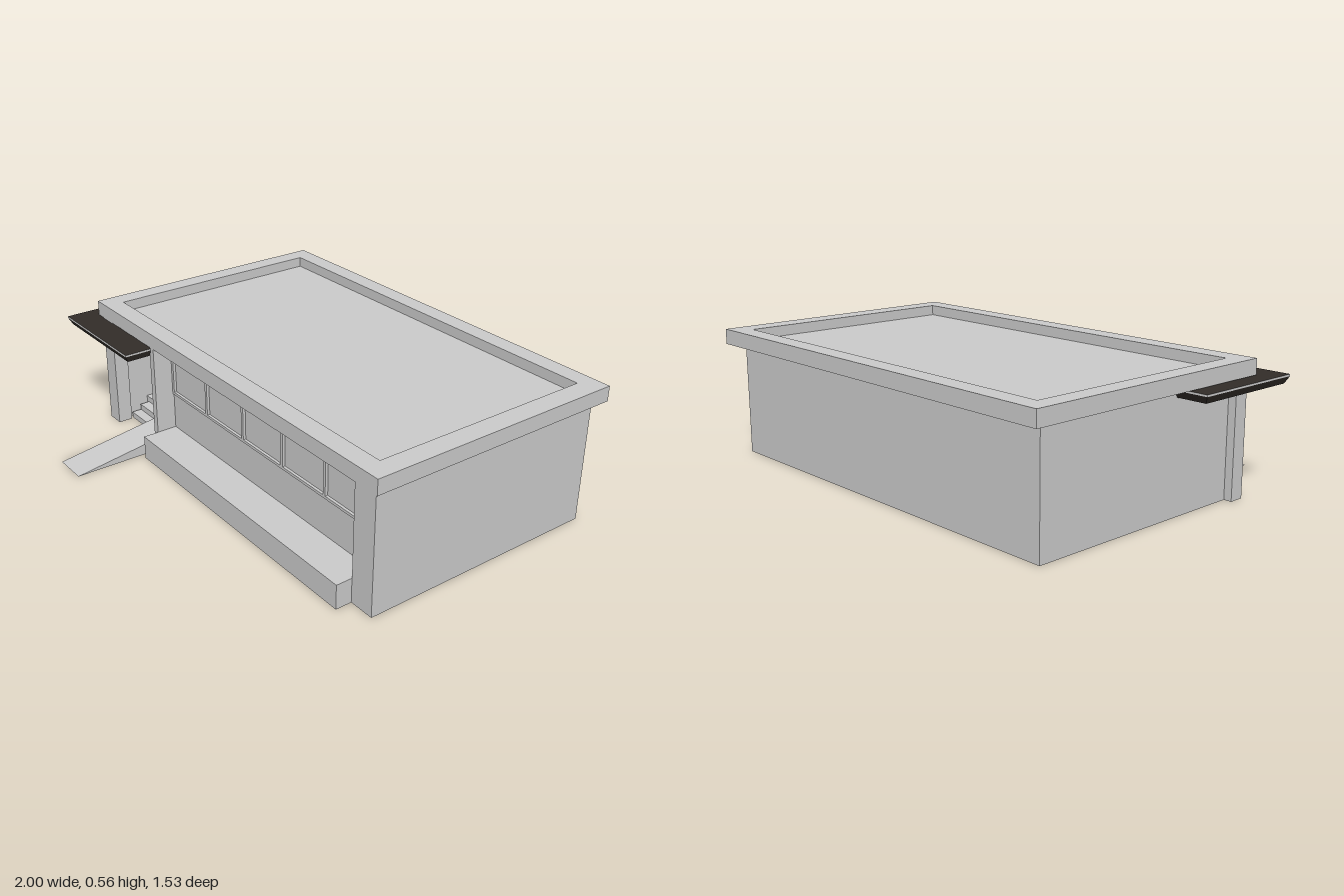
import * as THREE from 'three';

const grey = new THREE.MeshStandardMaterial({ color: 0xcccccc, side: THREE.DoubleSide });
const dark = new THREE.MeshStandardMaterial({ color: 0x322d29, side: THREE.DoubleSide });

// Box given by its min and max on each axis
function box(parent, name, x0, x1, y0, y1, z0, z1, material = grey) {
  const mesh = new THREE.Mesh(new THREE.BoxGeometry(x1 - x0, y1 - y0, z1 - z0), material);
  mesh.position.set((x0 + x1) / 2, (y0 + y1) / 2, (z0 + z1) / 2);
  mesh.name = name;
  parent.add(mesh);
  return mesh;
}

function group(parent, name) {
  const g = new THREE.Group();
  g.name = name;
  parent.add(g);
  return g;
}

const shapeOf = pts => new THREE.Shape(pts.map(p => new THREE.Vector2(...p)));

// Flat plan (x, z) extruded downwards from height top
function plate(parent, name, shape, top, depth, material) {
  const geo = new THREE.ExtrudeGeometry(shape, { depth, bevelEnabled: false });
  geo.rotateX(Math.PI / 2);
  geo.translate(0, top, 0);
  const mesh = new THREE.Mesh(geo, material);
  mesh.name = name;
  parent.add(mesh);
  return mesh;
}

export function createModel() {
  const model = new THREE.Group();
  model.name = 'building';

  // Flat roof with a raised parapet around it
  const roof = group(model, 'roof');
  const parapet = shapeOf([[-0.93, -0.77], [1, -0.77], [1, 0.385], [-0.93, 0.385]]);
  parapet.holes.push(new THREE.Path([[-0.85, -0.69], [-0.85, 0.3], [0.91, 0.3], [0.91, -0.69]]
    .map(p => new THREE.Vector2(...p))));
  plate(roof, 'parapet', parapet, 0.565, 0.065, grey);
  box(roof, 'roofDeck', -0.85, 0.91, 0.5, 0.52, -0.69, 0.3);

  // Outer walls, open underneath
  const walls = group(model, 'walls');
  box(walls, 'backWall', -0.855, 0.995, 0, 0.5, -0.68, -0.66);
  box(walls, 'leftWall', 0.885, 0.995, 0, 0.5, -0.68, 0.385);
  box(walls, 'rightWall', -0.855, -0.835, 0, 0.5, -0.66, 0.325);
  box(walls, 'cornerPillar', -0.89, -0.81, 0, 0.5, 0.32, 0.385);
  box(walls, 'porchPartition', -0.48, -0.45, 0, 0.5, 0.065, 0.385);
  box(walls, 'porchBackWall', -0.835, -0.48, 0.08, 0.5, 0.055, 0.07);

  // Recessed window wall: solid base, sill and five panes between mullions
  const front = group(model, 'windowWall');
  const x0 = -0.45, x1 = 0.885, zWall = 0.295, count = 5;
  box(front, 'basePanel', x0, x1, 0, 0.27, zWall - 0.015, zWall);
  box(front, 'sill', x0, x1, 0.268, 0.28, zWall - 0.015, zWall + 0.006);
  box(front, 'headRail', x0, x1, 0.49, 0.5, zWall - 0.015, zWall + 0.006);
  box(front, 'glazing', x0, x1, 0.28, 0.49, zWall - 0.012, zWall - 0.006);
  for (let i = 0; i <= count; i++) {
    const x = THREE.MathUtils.lerp(x0 + 0.007, x1 - 0.007, i / count);
    box(front, 'mullion', x - 0.007, x + 0.007, 0.28, 0.49, zWall - 0.015, zWall + 0.006);
  }

  // Hollow planter ledge in front of the windows
  const planter = group(model, 'planter');
  box(planter, 'planterTop', x0, x1, 0.09, 0.105, zWall, 0.455);
  box(planter, 'planterFront', x0, x1, 0, 0.09, 0.44, 0.455);
  box(planter, 'planterEnd', x0, x0 + 0.015, 0, 0.09, zWall, 0.44);
  box(planter, 'planterEnd', x1 - 0.015, x1, 0, 0.09, 0.385, 0.44);

  // Porch floor, steps and ramp
  const porch = group(model, 'porch');
  box(porch, 'porchFloor', -0.835, -0.48, 0, 0.08, 0.07, 0.22);
  for (let i = 0; i < 2; i++) {
    const z = 0.22 + i * 0.045;
    box(porch, 'step', -0.82, -0.635, 0, 0.054 - i * 0.027, z, z + 0.045);
  }
  const rampGeo = new THREE.ExtrudeGeometry(
    shapeOf([[-0.765, 0], [-0.22, 0], [-0.22, 0.08]]), { depth: 0.155, bevelEnabled: false });
  rampGeo.rotateY(Math.PI / 2); // profile runs along -z, width along +x
  rampGeo.translate(-0.635, 0, 0);
  const ramp = new THREE.Mesh(rampGeo, grey);
  ramp.name = 'ramp';
  porch.add(ramp);

  // L-shaped canopy around the corner, tapering towards its underside
  const canopy = group(model, 'canopy');
  const plan = shapeOf([[-1, -0.005], [-0.855, -0.005], [-0.855, 0.38], [-0.47, 0.38], [-0.47, 0.505], [-1, 0.505]]);
  plate(canopy, 'canopyLip', plan, 0.497, 0.008, [dark, grey]);
  const soffit = plate(canopy, 'canopySoffit', plan, 0.489, 0.029, dark);
  const pos = soffit.geometry.attributes.position;
  for (let i = 0; i < pos.count; i++) {
    if (pos.getY(i) > 0.47) continue;
    const x = pos.getX(i), z = pos.getZ(i);
    if (x < -0.99) pos.setX(i, x + 0.015);
    if (x > -0.48) pos.setX(i, x - 0.012);
    if (z > 0.5) pos.setZ(i, z - 0.015);
    if (z < 0) pos.setZ(i, z + 0.015);
  }
  soffit.geometry.computeVertexNormals();

  return model;
}
